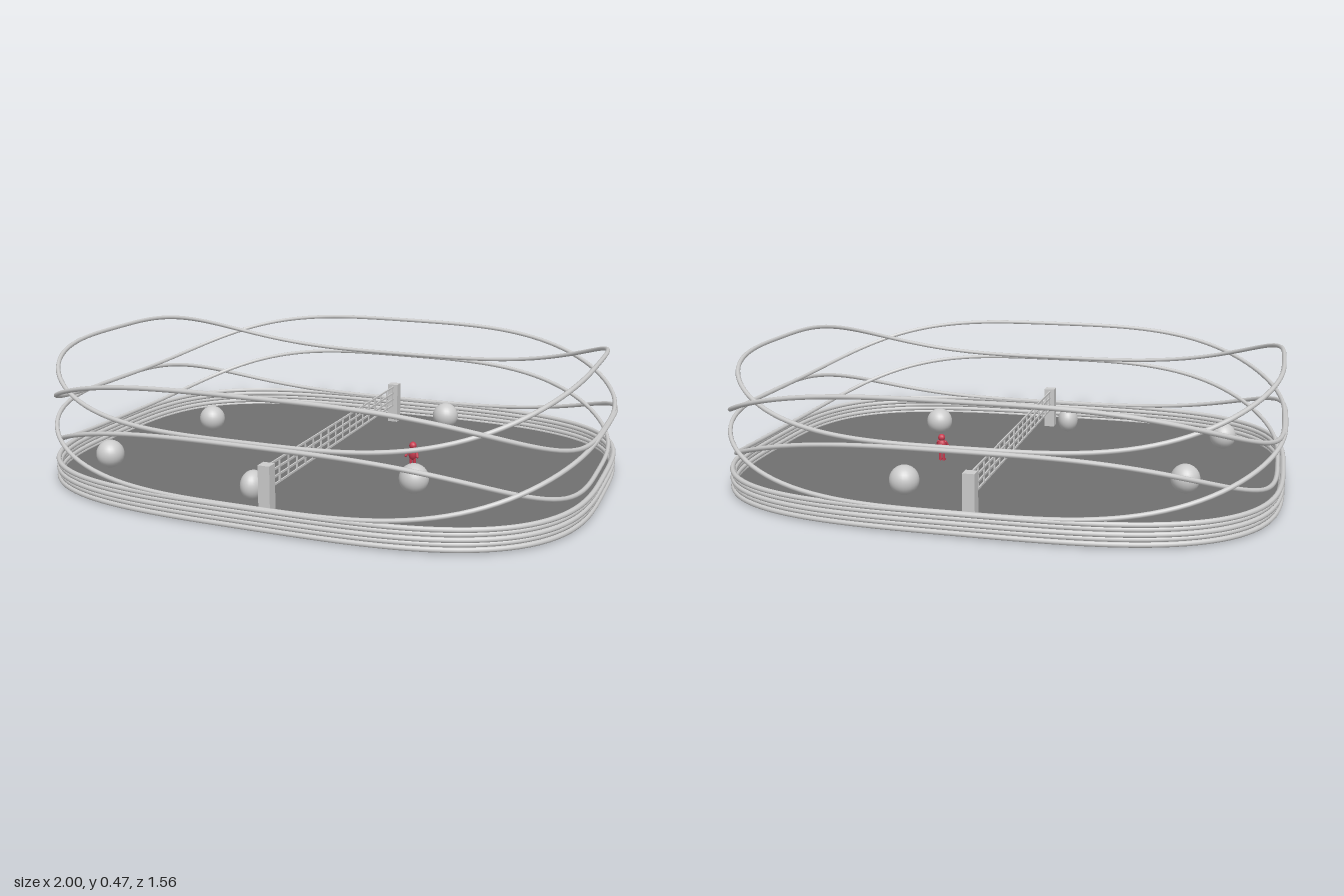
import * as THREE from 'three';

const grey = new THREE.MeshStandardMaterial({ color: 0xcccccc });
const dark = new THREE.MeshStandardMaterial({ color: 0x707070, side: THREE.DoubleSide });
const red = new THREE.MeshStandardMaterial({ color: 0xc83c50 });

// Rounded-rectangle (superellipse) outline point at angle t
function outline(t, a, b) {
  const c = Math.cos(t), s = Math.sin(t), p = 0.6;
  return [a * Math.sign(c) * Math.abs(c) ** p, b * Math.sign(s) * Math.abs(s) ** p];
}

export function createModel() {
  const model = new THREE.Group();

  function add(name, geometry, material, x = 0, y = 0, z = 0, parent = model) {
    const mesh = new THREE.Mesh(geometry, material);
    mesh.name = name;
    mesh.position.set(x, y, z);
    parent.add(mesh);
    return mesh;
  }

  // Closed rail whose height goes from ySide (x ends) to yFront (z ends)
  function rail(name, a, b, ySide, yFront, radius, cx = 0) {
    const pts = [];
    for (let i = 0; i < 96; i++) {
      const t = (i / 96) * Math.PI * 2;
      const [x, z] = outline(t, a, b);
      pts.push(new THREE.Vector3(x + cx, yFront + (ySide - yFront) * Math.cos(t) ** 2, z));
    }
    const curve = new THREE.CatmullRomCurve3(pts, true);
    add(name, new THREE.TubeGeometry(curve, 160, radius, 8, true), grey);
  }

  // Court floor
  const shape = new THREE.Shape();
  for (let i = 0; i < 128; i++) {
    const [x, z] = outline((i / 128) * Math.PI * 2, 0.985, 0.77);
    if (i === 0) shape.moveTo(x, z);
    else shape.lineTo(x, z);
  }
  const floor = new THREE.ExtrudeGeometry(shape, { depth: 0.008, bevelEnabled: false });
  floor.rotateX(-Math.PI / 2);
  add('floor', floor, dark, 0, 0.003, 0);

  // Stacked ropes around the floor
  for (let i = 0; i < 5; i++) {
    const y = 0.011 + i * 0.016;
    rail('borderRope', 0.99 - (i % 2) * 0.005, 0.773 - (i % 2) * 0.004, y, y, 0.009);
  }

  // Four wavy ropes above, alternately high at the sides and at the front
  rail('wavyRopeLow', 0.99, 0.772, 0.25, 0.078, 0.008);
  rail('wavyRopeLowMiddle', 0.97, 0.772, 0.092, 0.278, 0.008);
  rail('wavyRopeHighMiddle', 0.985, 0.772, 0.25, 0.435, 0.008);
  rail('wavyRopeTop', 0.96, 0.76, 0.465, 0.285, 0.008, -0.012);

  // Net posts
  add('backPost', new THREE.BoxGeometry(0.042, 0.175, 0.042), grey, -0.01, 0.0875, -0.645);
  add('frontPost', new THREE.BoxGeometry(0.042, 0.175, 0.042), grey, -0.004, 0.0875, 0.617);

  // Net grid
  const net = new THREE.Group();
  net.name = 'net';
  net.position.set(-0.007, 0, -0.014);
  model.add(net);
  for (const y of [0.165, 0.138, 0.111, 0.085]) {
    add('netCord', new THREE.BoxGeometry(0.005, 0.007, 1.24), grey, 0, y, 0, net);
  }
  for (let i = 0; i < 18; i++) {
    add('netStrand', new THREE.BoxGeometry(0.005, 0.085, 0.006), grey, 0, 0.125, -0.595 + i * 0.07, net);
  }

  // Balls: x, centre y, z, width factor
  const balls = [
    [-0.66, 0.065, -0.195, 1], [-0.755, 0.067, 0.41, 1], [-0.1, 0.065, 0.53, 0.8],
    [0.26, 0.09, -0.52, 1], [0.4, 0.083, 0.305, 1],
  ];
  for (const [x, y, z, w] of balls) {
    add('ball', new THREE.SphereGeometry(0.052, 24, 16), grey, x, y, z).scale.x = w;
  }

  // Small figure standing on the court
  const figure = new THREE.Group();
  figure.name = 'figure';
  figure.position.set(0.29, 0.01, -0.01);
  model.add(figure);
  add('head', new THREE.SphereGeometry(0.014, 12, 10), red, 0, 0.092, 0, figure);
  add('torso', new THREE.SphereGeometry(0.017, 12, 10), red, 0, 0.062, 0, figure).scale.y = 1.5;
  for (const s of [-1, 1]) {
    add('leg', new THREE.CylinderGeometry(0.006, 0.005, 0.045, 8), red, s * 0.007, 0.0225, 0, figure);
    add('foot', new THREE.BoxGeometry(0.009, 0.006, 0.02), red, s * 0.007, 0.003, 0.005, figure);
    add('arm', new THREE.CapsuleGeometry(0.005, 0.025, 4, 8), red, s * 0.019, 0.064, 0.008, figure)
      .rotation.set(-0.5, 0, s * 0.3);
  }

  return model;
}
